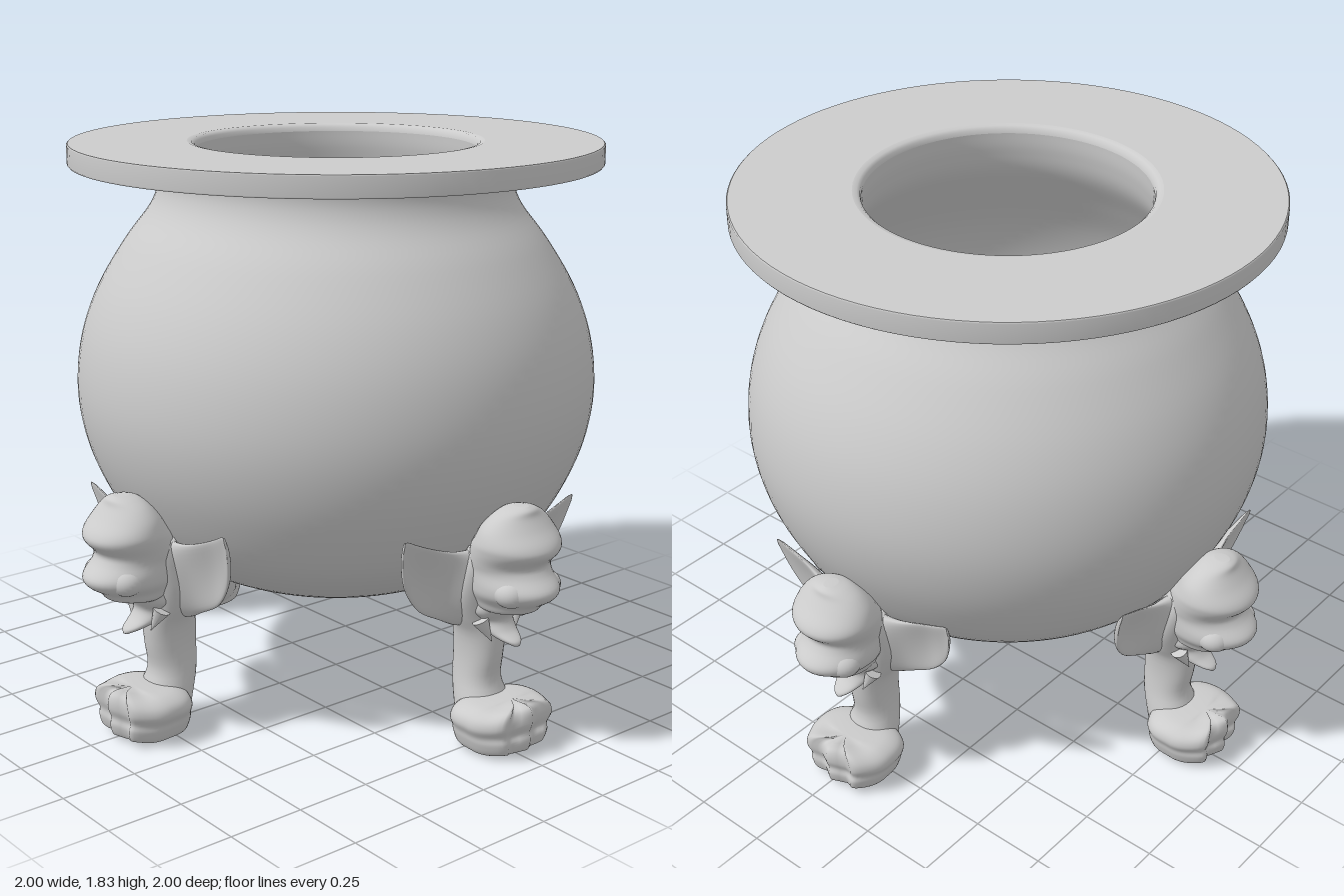
import * as THREE from 'three';

const material = new THREE.MeshStandardMaterial({ color: 0xcccccc, side: THREE.DoubleSide });
const V = (x, y) => new THREE.Vector2(x, y);

function add(parent, name, geometry, pos = [0, 0, 0], scale = [1, 1, 1]) {
  const mesh = new THREE.Mesh(geometry, material);
  mesh.name = name;
  mesh.position.set(...pos);
  mesh.scale.set(...scale);
  parent.add(mesh);
  return mesh;
}

// Smoothly resample a table of section values
function resample(rows, steps) {
  const out = [];
  for (let i = 0; i <= steps; i++) {
    const t = (i / steps) * (rows.length - 1);
    const k = Math.min(Math.floor(t), rows.length - 2), f = t - k;
    const at = n => rows[Math.max(0, Math.min(rows.length - 1, n))];
    out.push(rows[0].map((_, c) => {
      const a = at(k - 1)[c], b = at(k)[c], d = at(k + 1)[c], e = at(k + 2)[c];
      const m0 = (d - a) / 2, m1 = (e - b) / 2;
      return b + f * (m0 + f * (3 * (d - b) - 2 * m0 - m1 + f * (2 * (b - d) + m0 + m1)));
    }));
  }
  return out;
}

// Closed skin over rings; point(row, angle) gives [x, y, z]
function loft(rows, point, steps = 30, segs = 32) {
  const pos = [], index = [];
  const sections = resample(rows, steps);
  const centre = row => {
    const a = point(row, 0), b = point(row, Math.PI);
    return a.map((v, i) => (v + b[i]) / 2);
  };
  for (const row of sections)
    for (let j = 0; j < segs; j++) pos.push(...point(row, (j / segs) * Math.PI * 2));
  const start = pos.length / 3, end = start + 1;
  pos.push(...centre(sections[0]), ...centre(sections[steps]));
  for (let j = 0; j < segs; j++) {
    const n = (j + 1) % segs, last = steps * segs;
    for (let i = 0; i < steps; i++) {
      const a = i * segs + j, b = i * segs + n;
      index.push(a, b, b + segs, a, b + segs, a + segs);
    }
    index.push(start, n, j, end, last + j, last + n);
  }
  const g = new THREE.BufferGeometry();
  g.setAttribute('position', new THREE.Float32BufferAttribute(pos, 3));
  g.setIndex(index);
  g.computeVertexNormals();
  return g;
}

// Horizontal section: [y, back z, front z, half width]; power below 1 squares it
const level = power => ([y, back, front, w], a) => {
  const s = Math.sin(a), c = Math.cos(a);
  const round = v => Math.sign(v) * Math.abs(v) ** power;
  return [w * round(s), y, (back + front) / 2 + ((front - back) / 2) * round(c)];
};

// Foot section with soft toe lobes along its front
const footSection = (row, a) => {
  const [x, y, z] = level(0.75)(row, a);
  const front = Math.max(0, Math.cos(a)) ** 0.5;
  const lobe = Math.cos((x / row[3]) * Math.PI * 3) * front;
  return [x, y + 0.006 * lobe, z + 0.014 * lobe];
};

// Pointed ear section: [x, top y, bottom y, centre z, half thickness, cup depth]
const earSection = side => ([x, top, bottom, z, t, cup], a) => {
  const angle = a * side;
  const c = Math.cos(angle), s = Math.sin(angle);
  const y = (top + bottom) / 2 + ((top - bottom) / 2) * c;
  return [x * side, y, z + (y - 0.55) * 0.25 + t * s - cup * (1 - c * c)];
};

function createLeg() {
  const leg = new THREE.Group();
  const ball = new THREE.SphereGeometry(1, 24, 16);
  const barb = new THREE.ConeGeometry(1, 1, 12);

  // Shin, bowed back under the pot and widening into the neck
  add(leg, 'shin', loft([
    [0.012, 0.70, 0.80, 0.07], [0.05, 0.66, 0.82, 0.095], [0.13, 0.63, 0.80, 0.085],
    [0.2, 0.613, 0.772, 0.07], [0.28, 0.61, 0.783, 0.064], [0.36, 0.612, 0.79, 0.072],
    [0.42, 0.635, 0.785, 0.10], [0.5, 0.65, 0.80, 0.125], [0.6, 0.68, 0.83, 0.125],
    [0.66, 0.71, 0.84, 0.11],
  ], level(0.9)));

  // Broad foot, toes moulded into the front
  add(leg, 'foot', loft([
    [0.006, 0.70, 0.89, 0.10], [0.016, 0.685, 0.91, 0.128], [0.05, 0.675, 0.92, 0.142],
    [0.075, 0.675, 0.915, 0.147], [0.105, 0.675, 0.925, 0.16], [0.135, 0.69, 0.925, 0.15],
    [0.156, 0.73, 0.915, 0.115], [0.163, 0.79, 0.89, 0.06],
  ], footSection, 30, 56));

  // Bald head, brow notch and overhanging snout
  add(leg, 'head', loft([
    [0.463, 0.74, 0.87, 0.07], [0.475, 0.71, 0.92, 0.088], [0.50, 0.69, 0.945, 0.10],
    [0.53, 0.69, 0.988, 0.12], [0.56, 0.69, 0.996, 0.125], [0.60, 0.69, 0.96, 0.122],
    [0.63, 0.70, 0.95, 0.128], [0.67, 0.71, 0.983, 0.138], [0.70, 0.73, 0.978, 0.14],
    [0.74, 0.755, 0.943, 0.125], [0.775, 0.785, 0.917, 0.094], [0.797, 0.81, 0.908, 0.055],
    [0.807, 0.84, 0.89, 0.018],
  ], level(1), 60, 40));

  // Lower jaw tapering to a jutting chin
  add(leg, 'jaw', loft([
    [0.35, 0.85, 0.872, 0.012], [0.365, 0.79, 0.868, 0.035], [0.39, 0.73, 0.835, 0.055],
    [0.42, 0.70, 0.82, 0.06], [0.45, 0.69, 0.835, 0.085], [0.485, 0.69, 0.87, 0.085],
  ], level(0.9)));

  for (const side of [-1, 1]) {
    add(leg, 'ear', loft([
      [0.02, 0.65, 0.38, 0.725, 0.055, 0], [0.09, 0.655, 0.385, 0.725, 0.05, 0],
      [0.16, 0.66, 0.42, 0.715, 0.032, 0.02], [0.24, 0.685, 0.465, 0.70, 0.02, 0.025],
      [0.31, 0.715, 0.545, 0.697, 0.015, 0.015], [0.345, 0.732, 0.625, 0.697, 0.01, 0.008],
      [0.363, 0.735, 0.70, 0.697, 0.004, 0],
    ], earSection(side)));
    add(leg, 'cheek', ball, [side * 0.07, 0.55, 0.90], [0.055, 0.045, 0.055]);
    // Downward barbs beside the chin
    const tip = add(leg, 'chinBarb', barb, [side * 0.06, 0.39, 0.79], [0.026, 0.08, 0.03]);
    tip.rotation.set(Math.PI - 0.35, 0, side * 0.35);
  }
  return leg;
}

export function createModel() {
  const model = new THREE.Group();
  model.name = 'cauldron';

  // Round belly and flared neck
  const outer = new THREE.SplineCurve([
    V(0, 0.336), V(0.2, 0.348), V(0.4, 0.405), V(0.56, 0.483), V(0.69, 0.592), V(0.785, 0.75),
    V(0.838, 0.9), V(0.855, 1.05), V(0.835, 1.21), V(0.78, 1.36), V(0.69, 1.51),
    V(0.61, 1.615), V(0.58, 1.68), V(0.578, 1.735), V(0.595, 1.765),
  ]);
  add(model, 'belly', new THREE.LatheGeometry(outer.getPoints(70), 96));

  // Hollow inside, from floor up to the mouth
  const inner = new THREE.SplineCurve([
    V(0.453, 1.805), V(0.46, 1.74), V(0.49, 1.65), V(0.58, 1.52), V(0.68, 1.36), V(0.74, 1.2),
    V(0.755, 1.05), V(0.735, 0.9), V(0.68, 0.76), V(0.56, 0.6), V(0.35, 0.48), V(0, 0.44),
  ]);
  add(model, 'interior', new THREE.LatheGeometry(inner.getPoints(60), 96));

  // Flat wide rim; each run of points is its own lathe to keep edges sharp
  const rim = new THREE.Group();
  rim.name = 'rim';
  model.add(rim);
  const runs = [
    ['rimUnderside', [V(0.57, 1.762), V(0.858, 1.762)]],
    ['rimEdge', [V(0.858, 1.762), V(0.862, 1.767), V(0.862, 1.826), V(0.858, 1.83)]],
    ['rimTop', [V(0.858, 1.83), V(0.48, 1.83)]],
    ['rimLip', [V(0.48, 1.83), V(0.465, 1.827), V(0.456, 1.818), V(0.453, 1.805)]],
  ];
  for (const [name, points] of runs) add(rim, name, new THREE.LatheGeometry(points, 96));

  // Four goblin-headed legs, a quarter turn apart
  for (let i = 0; i < 4; i++) {
    const leg = createLeg();
    leg.name = 'leg' + ['Front', 'Left', 'Back', 'Right'][i];
    leg.rotation.y = i * Math.PI / 2 + 0.015;
    model.add(leg);
  }
  return model;
}
